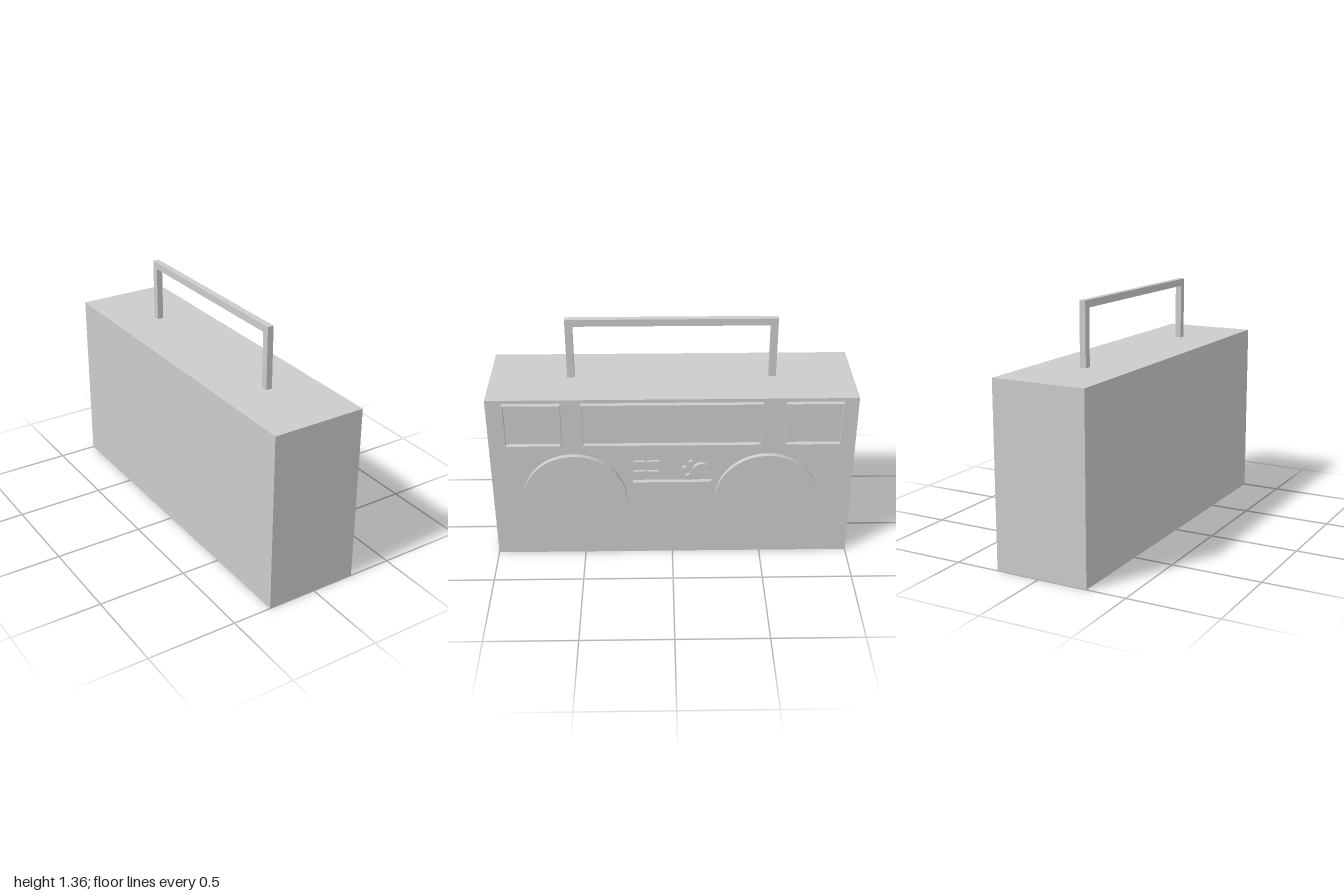
import * as THREE from 'three';

const FACE = 0.25; // x of the control face
const mat = new THREE.MeshStandardMaterial({ color: 0xcccccc, flatShading: true });

export function createModel() {
  const root = new THREE.Group();

  const add = (name, geometry, x, y, z) => {
    const mesh = new THREE.Mesh(geometry, mat);
    mesh.name = name;
    mesh.position.set(x, y, z);
    root.add(mesh);
  };

  // Box given by its minimum and maximum on each axis
  const box = (name, [x0, x1], [y0, y1], [z0, z1]) =>
    add(name, new THREE.BoxGeometry(x1 - x0, y1 - y0, z1 - z0),
      (x0 + x1) / 2, (y0 + y1) / 2, (z0 + z1) / 2);

  // Disc standing out of the control face
  const disc = (name, y, z, radius, depth, sides) => {
    const g = new THREE.CylinderGeometry(radius, radius, depth, sides);
    g.rotateZ(-Math.PI / 2);
    add(name, g, FACE + depth / 2, y, z);
  };

  // Raised thin rim around a recessed panel
  const rimmedPanel = (name, [y0, y1], [z0, z1], wall = 0.008, depth = 0.027) => {
    const w = z1 - z0, h = y1 - y0;
    const rect = (path, a, b) => path.moveTo(-a, -b).lineTo(a, -b).lineTo(a, b).lineTo(-a, b).closePath();
    const shape = rect(new THREE.Shape(), w / 2, h / 2);
    shape.holes.push(rect(new THREE.Path(), w / 2 - wall, h / 2 - wall));
    const g = new THREE.ExtrudeGeometry(shape, { depth, bevelEnabled: false });
    g.rotateY(Math.PI / 2);
    add(name, g, FACE, (y0 + y1) / 2, (z0 + z1) / 2);
  };

  // Case
  box('body', [-0.28, FACE], [0, 1.01], [-1, 1]);

  // Carrying handle
  const hx = [-0.035, 0];
  box('handleGrip', hx, [1.32, 1.36], [-0.575, 0.575]);
  box('handlePostLeft', hx, [1.01, 1.32], [0.535, 0.575]);
  box('handlePostRight', hx, [1.01, 1.32], [-0.575, -0.535]);

  // Upper row: tuner window between two small panels
  rimmedPanel('tunerWindow', [0.73, 0.99], [-0.487, 0.492]);
  rimmedPanel('upperPanelLeft', [0.73, 0.99], [0.6, 0.912]);
  rimmedPanel('upperPanelRight', [0.73, 0.99], [-0.92, -0.61]);

  // Speakers
  disc('speakerLeft', 0.38, 0.543, 0.29, 0.028, 40);
  disc('speakerRight', 0.38, -0.524, 0.286, 0.028, 40);

  // Cassette door
  box('cassetteDoor', [FACE, 0.275], [0.19, 0.497], [-0.215, 0.22]);

  // Four push buttons
  for (const y of [0.517, 0.582])
    for (const z of [0.075, 0.15])
      box('pushButton', [FACE, 0.265], [y, y + 0.044], [z, z + 0.064]);

  // Tuning knob with three small knobs around it
  disc('tuningKnob', 0.561, -0.16, 0.05, 0.02, 24);
  for (const [y, z] of [[0.612, -0.105], [0.575, -0.071], [0.523, -0.089]])
    disc('smallKnob', y, z, 0.016, 0.02, 16);

  return root;
}
